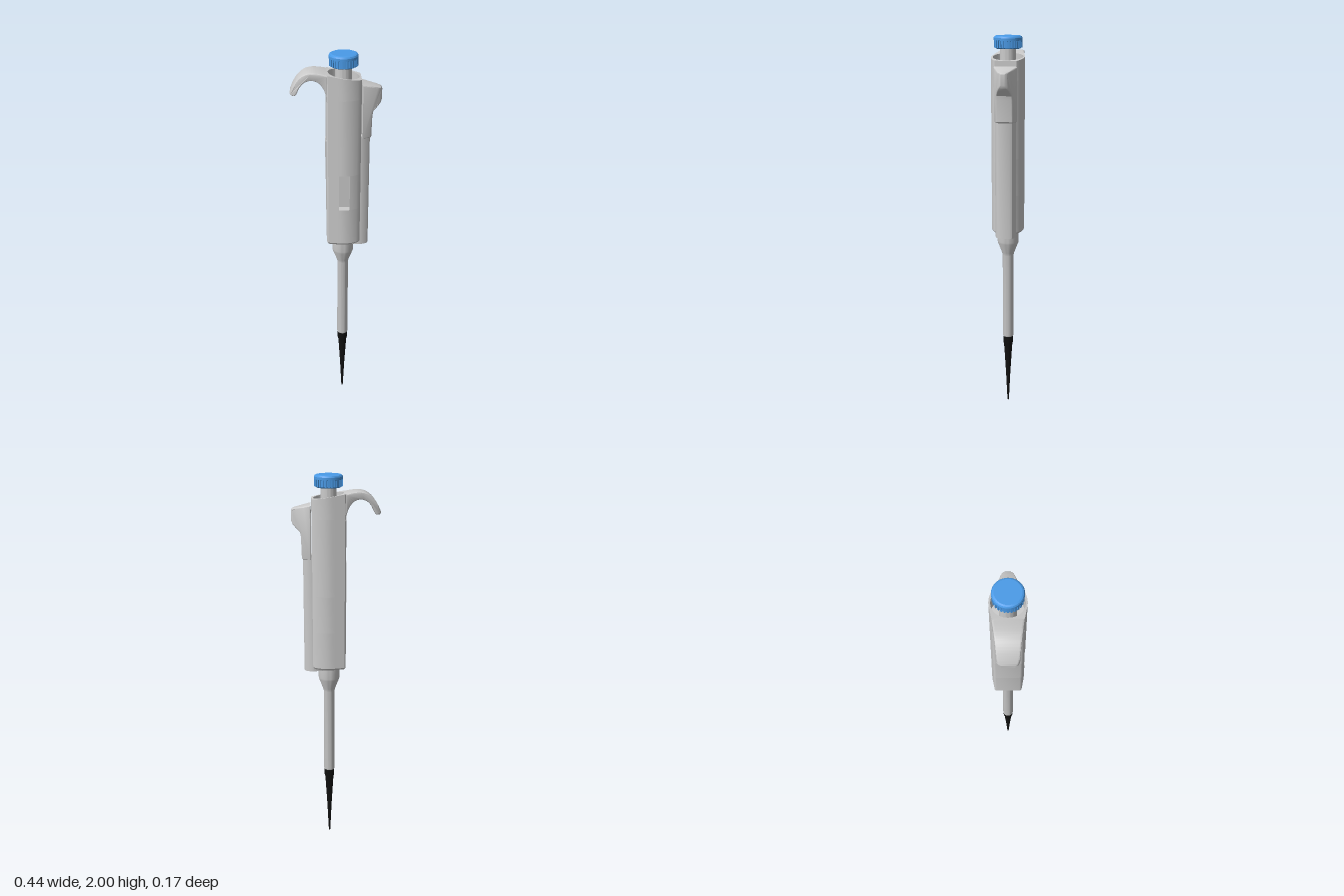
import * as THREE from 'three';
import { toCreasedNormals } from 'three/addons/utils/BufferGeometryUtils.js';

const AXIS = 0.035; // x of the plunger, shaft and tip
const grey = new THREE.MeshStandardMaterial({ color: 0xcccccc });
const blue = new THREE.MeshStandardMaterial({ color: 0x4a9be8 });
const black = new THREE.MeshStandardMaterial({ color: 0x111111 });

const vec = (pts) => pts.map(([a, b]) => new THREE.Vector2(a, b));

function add(parent, name, geometry, material = grey) {
  const mesh = new THREE.Mesh(geometry, material);
  mesh.name = name;
  parent.add(mesh);
  return mesh;
}

// Move every vertex by a rule, then smooth the soft edges only.
function reshape(geometry, rule, crease = 0.5) {
  const p = geometry.attributes.position;
  const v = new THREE.Vector3();
  for (let i = 0; i < p.count; i++) {
    rule(v.fromBufferAttribute(p, i));
    p.setXYZ(i, v.x, v.y, v.z);
  }
  geometry.computeVertexNormals();
  return toCreasedNormals(geometry, crease);
}

// Extrude a plan outline of [x, z] points upward from y0 to y1.
function prism(outline, y0, y1, rule = () => {}, holeRadius = 0) {
  const shape = new THREE.Shape(vec(outline.map(([x, z]) => [x, -z])));
  if (holeRadius) shape.holes.push(new THREE.Path().absarc(AXIS, 0, holeRadius, 0, Math.PI * 2, true));
  const g = new THREE.ExtrudeGeometry(shape, { depth: y1 - y0, bevelEnabled: false, curveSegments: 24 });
  g.rotateX(-Math.PI / 2).translate(0, y0, 0);
  return reshape(g, rule);
}

// Extrude a side profile across z, its half width depending on x.
function tapered(shape, halfWidth) {
  const g = new THREE.ExtrudeGeometry(shape, {
    depth: 1, bevelSize: 0.006, bevelOffset: -0.006, bevelThickness: 0.08, bevelSegments: 3, curveSegments: 12,
  });
  g.translate(0, 0, -0.5);
  return reshape(g, (v) => { v.z *= halfWidth(v.x) / 0.58; });
}

// Linear interpolation through [x, value] stops.
function ramp(stops, x) {
  if (x <= stops[0][0]) return stops[0][1];
  for (let i = 1; i < stops.length; i++) {
    const [a, va] = stops[i - 1], [b, vb] = stops[i];
    if (x <= b) return va + ((vb - va) * (x - a)) / (b - a);
  }
  return stops[stops.length - 1][1];
}

function lathe(parent, name, profile, material) {
  const g = toCreasedNormals(new THREE.LatheGeometry(vec(profile), 40), 0.4);
  const mesh = add(parent, name, g, material);
  mesh.position.x = AXIS;
  return mesh;
}

const mirrorOutline = (front, back = front) =>
  [...front, ...[...back].reverse().map(([x, z]) => [x, -z])];

export function createModel() {
  const model = new THREE.Group();

  // Handle: solid lower part, window band, solid part, hollow sloping top
  const half = [[-0.05, 0.06], [-0.048, 0.066], [-0.043, 0.071], [0, 0.079], [0.02, 0.083],
    [0.04, 0.0845], [0.06, 0.082], [0.08, 0.077], [0.1, 0.068], [0.116, 0.058], [0.12, 0.053]];
  const notched = [...half.filter(([x]) => x < 0.01), [0.01, 0.081], [0.01, 0.045],
    [0.065, 0.045], [0.065, 0.081], ...half.filter(([x]) => x > 0.065)];
  const plan = mirrorOutline(half);
  const handle = new THREE.Group();
  handle.name = 'handle';
  model.add(handle);
  add(handle, 'handleFoot', prism(plan, 1.006, 1.016, (v) => {
    if (v.y < 1.01) {
      v.x = AXIS + (v.x - AXIS) * 0.93;
      v.z *= 0.93;
    }
  }));
  add(handle, 'lowerHandle', prism(plan, 1.016, 1.21));
  add(handle, 'windowBand', prism(mirrorOutline(notched, half), 1.21, 1.4));
  add(handle, 'upperHandle', prism(plan, 1.4, 1.79));
  add(handle, 'hollowTop', prism(plan, 1.79, 1.9, (v) => {
    if (v.y > 1.85) v.y = 1.912 - 0.16 * (v.x + 0.05);
  }, 0.076));

  // Thin raised plate on the hook side
  const plate = add(handle, 'sidePlate', new THREE.BoxGeometry(0.008, 0.21, 0.07));
  plate.position.set(-0.05, 1.465, 0);

  // Finger hook
  const hook = new THREE.Shape();
  hook.moveTo(-0.044, 1.911);
  hook.splineThru(vec([[-0.085, 1.919], [-0.12, 1.921], [-0.155, 1.912], [-0.185, 1.888],
    [-0.208, 1.853], [-0.223, 1.82]]));
  hook.quadraticCurveTo(-0.223, 1.808, -0.208, 1.808);
  hook.quadraticCurveTo(-0.195, 1.807, -0.19, 1.82);
  hook.splineThru(vec([[-0.175, 1.85], [-0.152, 1.874], [-0.12, 1.884], [-0.088, 1.874],
    [-0.065, 1.847], [-0.053, 1.815], [-0.049, 1.78]]));
  hook.lineTo(-0.044, 1.78);
  const hookWidth = [[-0.223, 0.036], [-0.217, 0.044], [-0.205, 0.05], [-0.044, 0.071]];
  add(model, 'fingerHook', tapered(hook, (x) => ramp(hookWidth, x)));

  // Ejector: long bar, thumb lever and foot reaching under the handle
  const ejector = new THREE.Group();
  ejector.name = 'ejector';
  model.add(ejector);
  const bar = mirrorOutline([[0.115, 0.053], [0.126, 0.053], [0.147, 0.046], [0.159, 0.038], [0.165, 0.026]]);
  add(ejector, 'ejectorBar', prism(bar, 0.995, 1.6));
  const foot = mirrorOutline([[0.052, 0.034], [0.07, 0.045], [0.12, 0.052], [0.126, 0.052],
    [0.147, 0.045], [0.16, 0.036], [0.164, 0.025]]);
  add(ejector, 'ejectorFoot', prism(foot, 0.992, 1.007));
  const lever = new THREE.Shape(vec([[0.124, 1.588], [0.166, 1.588], [0.171, 1.595], [0.174, 1.7],
    [0.178, 1.722], [0.2, 1.745], [0.215, 1.762], [0.221, 1.777], [0.221, 1.83], [0.215, 1.837],
    [0.2, 1.841], [0.16, 1.85], [0.124, 1.858]]));
  const leverWidth = [[0.124, 0.059], [0.2, 0.031], [0.213, 0.024], [0.221, 0.011]];
  add(ejector, 'thumbLever', tapered(lever, (x) => ramp(leverWidth, x)));

  // Nozzle, shaft and disposable tip
  lathe(model, 'shaft', [[0, 0.395], [0.027, 0.395], [0.029, 0.4], [0.029, 0.865], [0.033, 0.88],
    [0.054, 0.935], [0.056, 0.945], [0.056, 1.01]]);
  lathe(model, 'tip', [[0, 0], [0.004, 0], [0.012, 0.17], [0.021, 0.32], [0.023, 0.345],
    [0.027, 0.36], [0.027, 0.393], [0, 0.393]], black);

  // Plunger stem
  lathe(model, 'plungerStem', [[0.04, 1.78], [0.04, 1.945]]);

  // Plunger button with grip ribs
  const button = new THREE.Group();
  button.name = 'plungerButton';
  model.add(button);
  lathe(button, 'buttonCap', [[0, 1.938], [0.06, 1.938], [0.066, 1.943], [0.066, 1.976],
    [0.071, 1.978], [0.071, 1.99], [0.067, 1.997], [0.06, 2], [0, 2]], blue);
  const ribs = 28;
  for (let i = 0; i < ribs; i++) {
    const a = (i / ribs) * Math.PI * 2;
    const rib = add(button, 'gripRib', new THREE.BoxGeometry(0.007, 0.036, 0.009), blue);
    rib.position.set(AXIS + 0.0665 * Math.cos(a), 1.961, 0.0665 * Math.sin(a));
    rib.rotation.y = -a;
  }
  return model;
}
